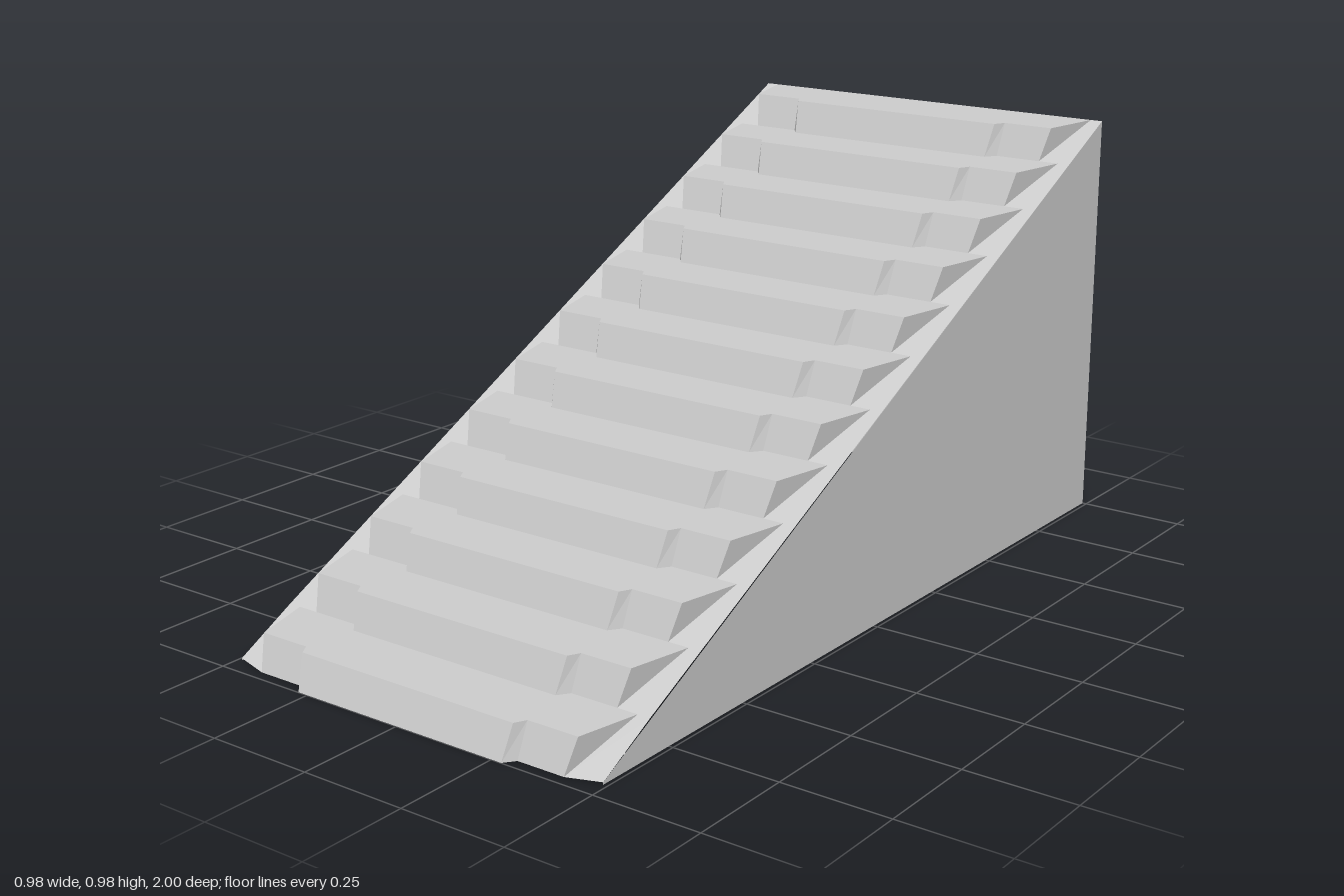
import * as THREE from 'three';

const STEPS = 12, HALF = 0.49, TOP = 0.98, FRONT = 0.955, BACK = -1;
const START = 0.974;                        // foot of the first riser
const RUN = (START - BACK) / STEPS, RISE = TOP / STEPS;
const JUT = 0.025, LEAN = 0.026, FALL = 0.03; // centre projection, riser lean, tread slope

const material = new THREE.MeshStandardMaterial({ color: 0xcccccc, flatShading: true, side: THREE.DoubleSide });

// Mesh from convex polygons, each fanned into triangles
function polyMesh(name, polys) {
  const pos = [];
  for (const p of polys)
    for (let i = 1; i < p.length - 1; i++) pos.push(...p[0], ...p[i], ...p[i + 1]);
  const g = new THREE.BufferGeometry();
  g.setAttribute('position', new THREE.Float32BufferAttribute(pos, 3));
  g.computeVertexNormals();
  const m = new THREE.Mesh(g, material);
  m.name = name;
  return m;
}

// Quads between two rows of points running from -x to +x
const strip = (a, b) => a.slice(1).map((p, i) => [a[i], p, b[i + 1], b[i]]);

// Mirrors a half row, listed from the outside in, to a full row
const row = half => [...half.map(([x, y, z]) => [-x, y, z]), ...half.slice().reverse()];

// Mirrors a polygon to the -x side, keeping it facing outwards
const both = p => [p, p.map(([x, y, z]) => [-x, y, z]).reverse()];

function makeStep(i) {
  const step = new THREE.Group();
  step.name = 'step' + (i + 1);
  const z0 = START - i * RUN, z1 = z0 - RUN, y0 = i * RISE, y1 = y0 + RISE;
  const treadY = z => y1 - FALL * (z - z1);
  const last = i === STEPS - 1, jut = last ? 0 : JUT;
  const dip = i === 0 ? 0 : FALL * JUT;
  const zt = z0 - LEAN;

  const foot = row([[0.41, y0, z0], [0.295, y0, z0], [0.275, y0 - dip, z0 + JUT]]);
  const nose = [[0.425, zt], [0.41, zt], [0.30, zt], [0.285, zt + JUT]].map(([x, z]) => [x, treadY(z), z]);
  const heel = [[0.46, z1], [0.41, z1], [0.295, z1], [0.275, z1 + jut]].map(([x, z]) => [x, treadY(z), z]);

  step.add(polyMesh('riser', strip(foot, row([nose[0], nose[2], nose[3]]))));
  step.add(polyMesh('tread', strip(row(nose), row(heel))));
  step.add(polyMesh('stepEnds', both([[0.41, y0, z0], [0.46, y1, z1], nose[0]])));
  return step;
}

export function createModel() {
  const group = new THREE.Group();

  // Hollow wedge, open underneath
  group.add(polyMesh('sideWalls', both([
    [HALF, 0, BACK], [HALF, TOP, BACK], [HALF, 0.005, FRONT], [HALF, 0, FRONT]])));
  group.add(polyMesh('backWall', [[
    [HALF, 0, BACK], [-HALF, 0, BACK], [-HALF, TOP, BACK], [HALF, TOP, BACK]]]));

  // Sloping margins beside the steps, with a sawtooth inner edge
  const margins = [];
  for (let i = 0; i < STEPS; i++) {
    const z0 = START - i * RUN, z1 = z0 - RUN, y0 = i * RISE, y1 = y0 + RISE;
    const zf = i === 0 ? FRONT : z0, yf = i === 0 ? 0.005 : y0;
    margins.push(...both([[0.41, y0, z0], [HALF, yf, zf], [HALF, y1, z1], [0.46, y1, z1]]));
  }
  group.add(polyMesh('margins', margins));

  for (let i = 0; i < STEPS; i++) group.add(makeStep(i));

  // Plate under the first step
  const plateFront = row([[0.41, 0, START], [0.295, 0, START], [0.275, 0, START + JUT]]);
  const plateBack = row([[0.45, 0.005, 0.83], [0.295, 0.005, 0.83], [0.275, 0.005, 0.83]]);
  group.add(polyMesh('bottomPlate', strip(plateBack, plateFront)));

  return group;
}
